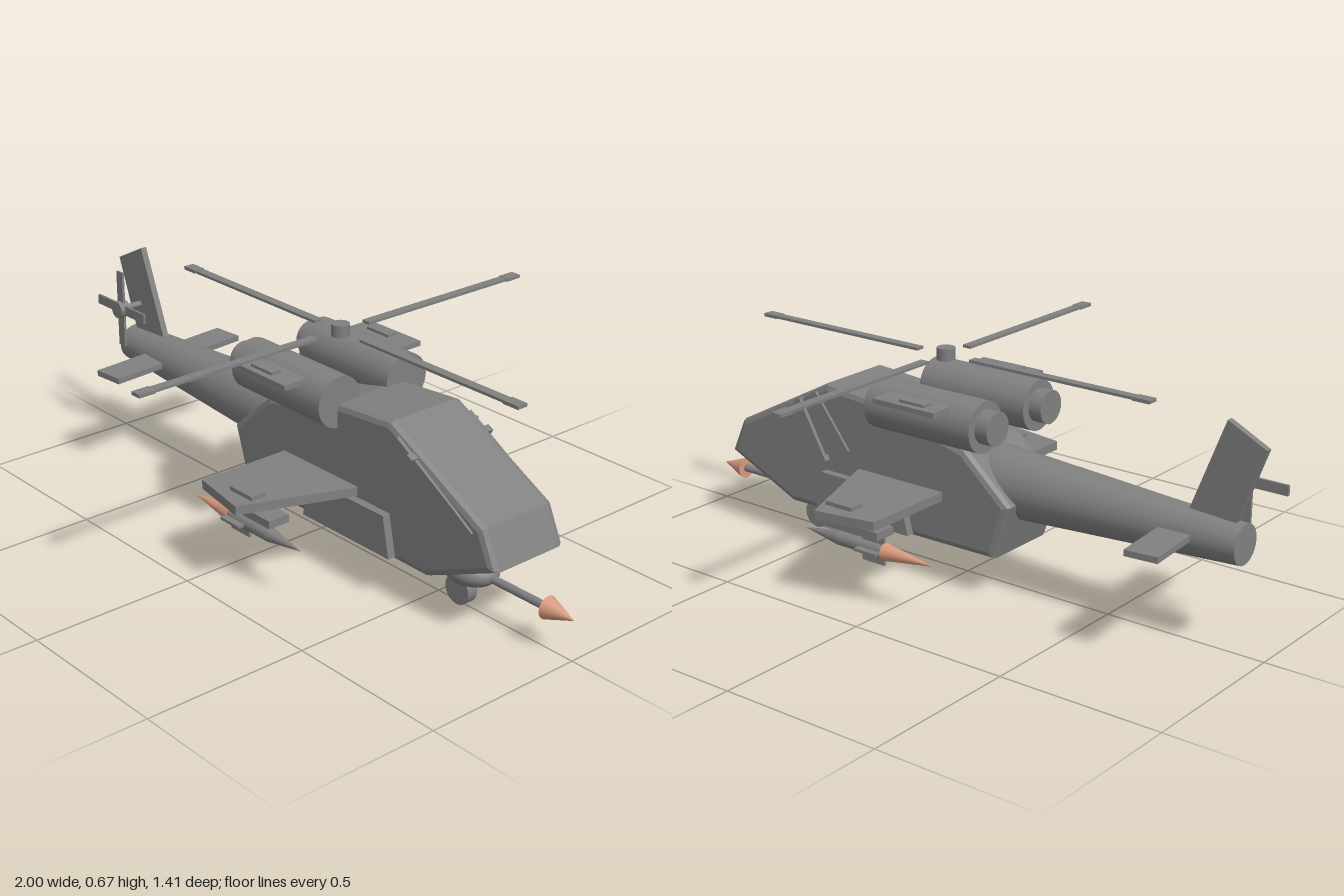
import * as THREE from 'three';

export function createModel() {
  const root = new THREE.Group();
  root.name = 'helicopter';
  const grey = new THREE.MeshStandardMaterial({ color: 0x808080 });
  grey.name = 'airframe grey';
  const copper = new THREE.MeshStandardMaterial({ color: 0xd89a7e });
  copper.name = 'copper tip';

  const add = (name, geo, mat = grey, parent = root) => {
    const mesh = new THREE.Mesh(geo, mat);
    mesh.name = name;
    parent.add(mesh);
    return mesh;
  };
  const box = (name, x0, x1, y0, y1, z0, z1, parent = root) => {
    const m = add(name, new THREE.BoxGeometry(x1 - x0, y1 - y0, Math.abs(z1 - z0)), grey, parent);
    m.position.set((x0 + x1) / 2, (y0 + y1) / 2, (z0 + z1) / 2);
    return m;
  };
  // Round part along x, rear radius then front radius
  const rod = (name, x0, x1, rRear, rFront, y, z, mat = grey, parent = root, sides = 24) => {
    const geo = new THREE.CylinderGeometry(rFront, rRear, x1 - x0, sides).rotateZ(-Math.PI / 2);
    const m = add(name, geo, mat, parent);
    m.position.set((x0 + x1) / 2, y, z);
    return m;
  };
  // Side outline extruded across z, with a chamfer kept inside the outline
  const slab = (name, pts, z0, z1, bevel = 0) => {
    const shape = new THREE.Shape(pts.map(p => new THREE.Vector2(p[0], p[1])));
    const geo = new THREE.ExtrudeGeometry(shape, {
      depth: z1 - z0 - 2 * bevel, bevelEnabled: bevel > 0, bevelThickness: bevel,
      bevelSize: bevel, bevelOffset: -bevel, bevelSegments: 2,
    });
    geo.translate(0, 0, z0 + bevel);
    return add(name, geo);
  };

  // Fuselage, boom and fin
  slab('fuselage', [
    [-0.245, 0.295], [-0.19, 0.128], [0.58, 0.122], [0.835, 0.235],
    [0.785, 0.345], [0.43, 0.53], [0.21, 0.512], [-0.085, 0.435],
  ], -0.132, 0.132, 0.02);
  rod('tailBoom', -0.925, -0.05, 0.058, 0.108, 0.32, 0);
  slab('tailFin', [[-0.98, 0.595], [-0.86, 0.655], [-0.75, 0.37], [-0.89, 0.35]], -0.01, 0.01);

  // Slightly skewed tailplane
  const tailplane = box('tailplane', -0.79, -0.69, 0.318, 0.336, -0.253, 0.253);
  tailplane.rotation.y = 0.09;

  // Tail rotor on the left side
  const tailHub = add('tailRotorHub', new THREE.CylinderGeometry(0.027, 0.027, 0.034, 16).rotateX(Math.PI / 2));
  tailHub.position.set(-0.877, 0.465, 0.083);
  rod('tailRotorShaft', -0.035, 0.035, 0.01, 0.01, 0, 0).rotation.y = Math.PI / 2;
  root.getObjectByName('tailRotorShaft').position.set(-0.877, 0.465, 0.04);
  box('tailRotorBlade', -1, -0.754, 0.45, 0.48, 0.077, 0.085);
  box('tailRotorBlade', -0.892, -0.862, 0.342, 0.588, 0.077, 0.085);

  // Main rotor
  const rotor = new THREE.Group();
  rotor.name = 'mainRotor';
  rotor.position.set(0.08, 0.655, 0);
  root.add(rotor);
  add('rotorHub', new THREE.CylinderGeometry(0.027, 0.027, 0.036, 16), grey, rotor).position.y = 0.003;
  for (let i = 0; i < 4; i++) {
    const arm = new THREE.Group();
    arm.name = 'rotorBlade';
    arm.rotation.y = i * Math.PI / 2;
    rotor.add(arm);
    box('blade', 0.095, 0.7, -0.004, 0.004, -0.014, 0.014, arm);
    box('bladeTip', 0.65, 0.704, -0.005, 0.005, -0.017, 0.017, arm);
  }

  for (const s of [1, -1]) {
    // Engine pods with exhausts and side plates
    rod('engine', -0.16, 0.22, 0.076, 0.076, 0.517, s * 0.125);
    rod('exhaust', -0.203, -0.15, 0.05, 0.05, 0.52, s * 0.125);
    box('enginePlate', -0.08, 0.14, 0.56, 0.575, s * 0.12, s * 0.255);
    box('enginePlateTab', -0.03, 0.06, 0.575, 0.583, s * 0.2, s * 0.235);

    // Canopy window, its bar and the lower side panel
    const side = (name, pts, depth) =>
      slab(name, pts, s > 0 ? 0.125 : -depth, s > 0 ? depth : -0.125);
    side('canopyWindow', [[0.34, 0.34], [0.465, 0.5], [0.685, 0.37], [0.755, 0.325], [0.625, 0.25]], 0.14);
    side('canopyBar', [[0.42, 0.295], [0.44, 0.288], [0.54, 0.462], [0.52, 0.472]], 0.152);
    side('sidePanel', [[0.1, 0.137], [0.46, 0.137], [0.435, 0.26], [0.13, 0.26]], 0.157);

    // Stub wing
    const wing = new THREE.Shape([[-0.01, 0.1], [0.31, 0.1], [0.3, 0.15], [0.18, 0.463], [-0.01, 0.43]]
      .map(p => new THREE.Vector2(p[0], s * p[1])));
    const wingGeo = new THREE.ExtrudeGeometry(wing, { depth: 0.027, bevelEnabled: false }).rotateX(Math.PI / 2);
    add('stubWing', wingGeo).position.y = 0.292;
    box('wingTab', 0.09, 0.185, 0.29, 0.304, s * 0.36, s * 0.41);
    box('weaponRail', 0.02, 0.225, 0.213, 0.237, s * 0.313, s * 0.383);

    // Missile, copper end pointing aft
    const missile = new THREE.Group();
    missile.name = 'missile';
    missile.position.set(0, 0.172, s * 0.35);
    root.add(missile);
    rod('missileTail', -0.155, 0.02, 0, 0.026, 0, 0, copper, missile, 16);
    rod('missileBody', 0.02, 0.19, 0.021, 0.021, 0, 0, grey, missile, 16);
    rod('missileNose', 0.19, 0.32, 0.021, 0, 0, 0, grey, missile, 16);
    box('missileFin', 0.02, 0.1, -0.042, 0.042, -0.004, 0.004, missile);
    box('missileFin', 0.02, 0.1, -0.004, 0.004, -0.042, 0.042, missile);
  }

  // Nose gun and wheel
  const turret = add('gunTurret', new THREE.SphereGeometry(1, 24, 16));
  turret.scale.set(0.09, 0.046, 0.071);
  turret.position.set(0.62, 0.125, 0);
  rod('gunBarrel', 0.65, 0.92, 0.012, 0.012, 0.122, 0, grey, root, 16);
  rod('gunTip', 0.905, 1, 0.034, 0, 0.122, 0, copper, root, 16);
  const wheel = add('wheel', new THREE.CylinderGeometry(0.045, 0.045, 0.034, 20).rotateX(Math.PI / 2));
  wheel.position.set(0.587, 0.047, 0);
  box('wheelStrut', 0.575, 0.599, 0.05, 0.12, -0.01, 0.01);

  return root;
}
